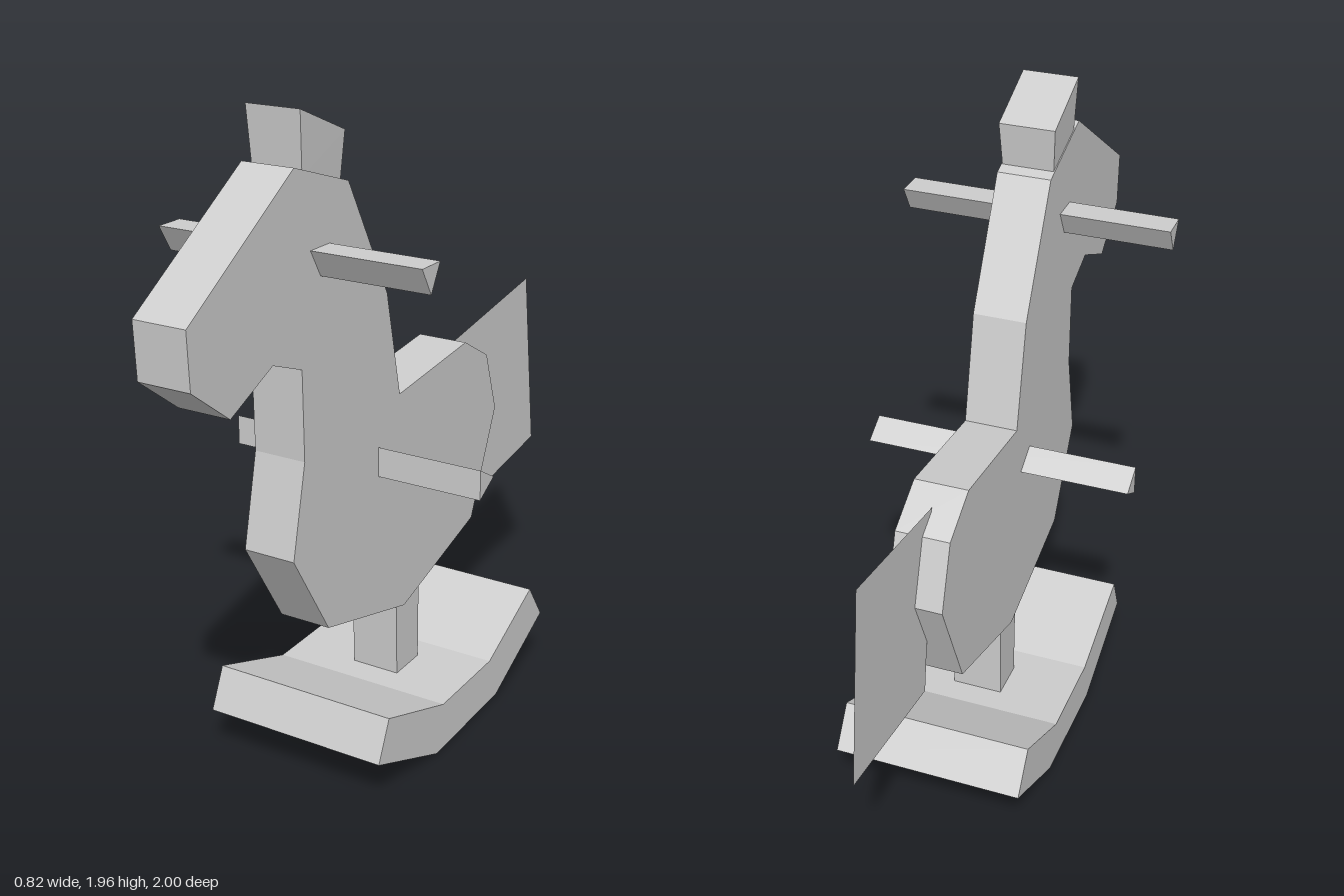
import * as THREE from 'three';

export function createModel() {
  const model = new THREE.Group();
  model.name = 'rockingHorse';
  const grey = new THREE.MeshStandardMaterial({ color: 0xcccccc, side: THREE.DoubleSide });
  grey.name = 'plain grey';

  const outline = (points) => new THREE.Shape(points.map(([z, y]) => new THREE.Vector2(-z, y)));

  const add = (name, geometry) => {
    const mesh = new THREE.Mesh(geometry, grey);
    mesh.name = name;
    model.add(mesh);
    return mesh;
  };

  // Side profile given as [z, y], extruded evenly across x
  const slab = (name, halfWidth, points) => {
    const geometry = new THREE.ExtrudeGeometry(outline(points), { depth: halfWidth * 2, bevelEnabled: false });
    geometry.translate(0, 0, -halfWidth).rotateY(Math.PI / 2);
    return add(name, geometry);
  };

  // Head, neck and body cut from one board
  slab('body', 0.08, [
    [1, 1.52], [0.545, 1.815], [0.295, 1.735], [0.1, 1.38], [0.03, 1.06],
    [-0.36, 1.105], [-0.5, 1.025], [-0.565, 0.83], [-0.42, 0.5], [0, 0.37],
    [0.415, 0.48], [0.58, 0.75], [0.52, 1.02], [0.525, 1.28], [0.655, 1.33],
    [0.84, 1.245], [0.992, 1.36],
  ]);

  // Forelock block, flaring slightly towards the top
  const forelock = slab('forelock', 0.083, [[0.518, 1.957], [0.315, 1.873], [0.33, 1.735], [0.505, 1.785]]);
  const p = forelock.geometry.attributes.position;
  for (let i = 0; i < p.count; i++) if (p.getY(i) < 1.8) p.setX(i, p.getX(i) * 0.92);
  forelock.geometry.computeVertexNormals();

  // Triangular handle and foot pegs
  slab('handlePeg', 0.41, [[0.478, 1.588], [0.388, 1.588], [0.432, 1.51]]);
  slab('footPeg', 0.41, [[0.148, 0.935], [0.148, 0.845], [0.07, 0.89]]);

  // Post and curved rocker
  slab('post', 0.077, [[0.042, 0.45], [-0.092, 0.45], [-0.09, 0.12], [0.035, 0.12]]);
  slab('rocker', 0.288, [
    [0.43, 0.26], [0.12, 0.15], [-0.17, 0.157], [-0.437, 0.29],
    [-0.52, 0.17], [-0.22, 0.018], [0.155, 0], [0.485, 0.138],
  ]);

  // Flat sheet tail
  const tail = outline([[-0.43, 1.075], [-0.922, 1.157], [-1, 0.567], [-0.51, 0.487]]);
  add('tail', new THREE.ShapeGeometry(tail).rotateY(Math.PI / 2));

  return model;
}
